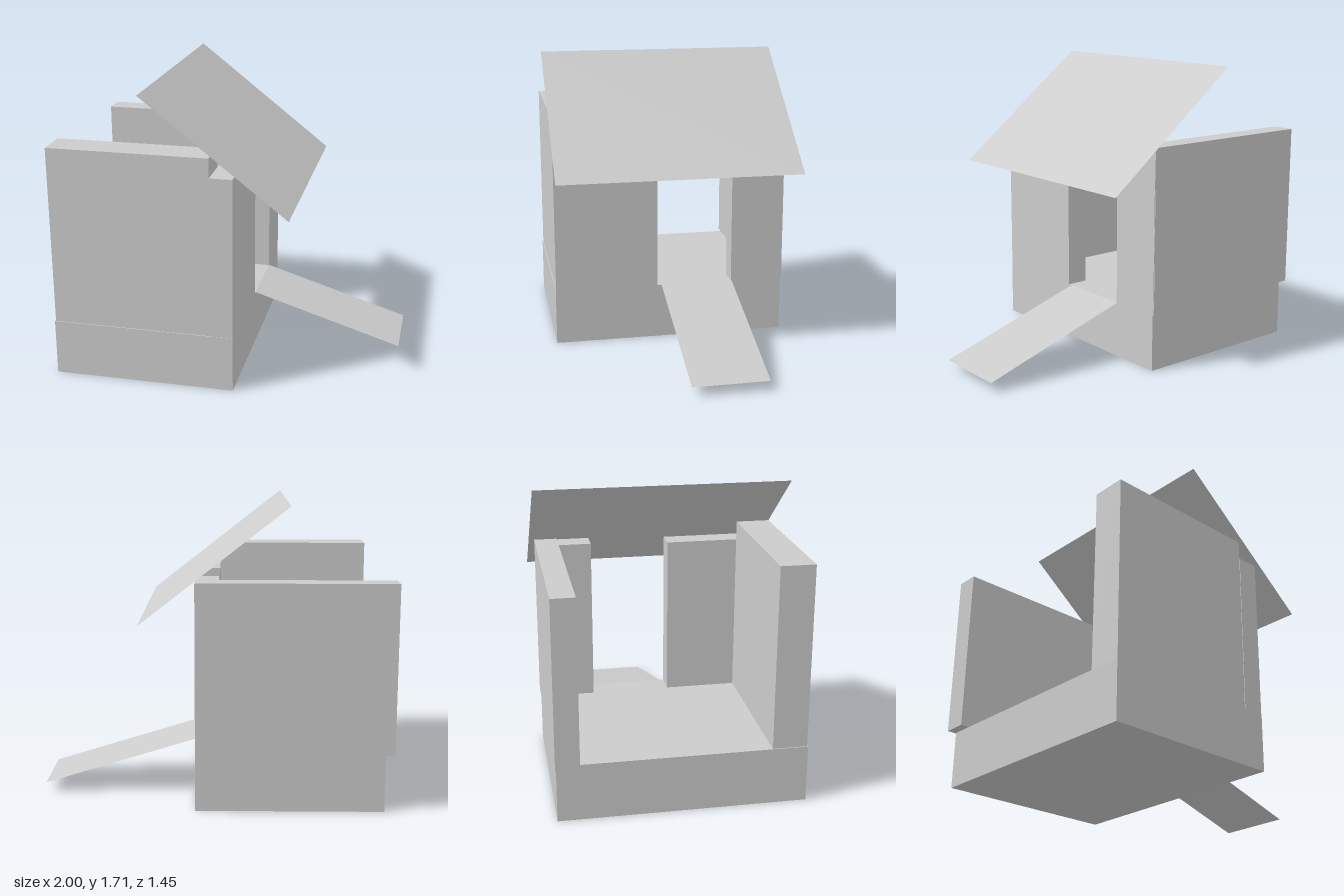
import * as THREE from 'three';

const material = new THREE.MeshStandardMaterial({ color: 0xcccccc, flatShading: true });
const sheetMaterial = new THREE.MeshStandardMaterial({ color: 0xcccccc, flatShading: true, side: THREE.DoubleSide });

// Box given by its limits on each axis
function block(name, [x0, x1], [y0, y1], [z0, z1]) {
  const mesh = new THREE.Mesh(new THREE.BoxGeometry(x1 - x0, y1 - y0, z1 - z0), material);
  mesh.name = name;
  mesh.position.set((x0 + x1) / 2, (y0 + y1) / 2, (z0 + z1) / 2);
  return mesh;
}

// Thin sheet sloping down from (xHigh, yHigh) to (xLow, yLow)
function slopedSheet(name, [xHigh, yHigh], [xLow, yLow], [z0, z1]) {
  const dx = xLow - xHigh, dy = yLow - yHigh;
  const geometry = new THREE.PlaneGeometry(Math.hypot(dx, dy), z1 - z0);
  geometry.rotateX(-Math.PI / 2);
  const mesh = new THREE.Mesh(geometry, sheetMaterial);
  mesh.name = name;
  mesh.rotation.z = Math.atan2(dy, dx);
  mesh.position.set((xHigh + xLow) / 2, (yHigh + yLow) / 2, (z0 + z1) / 2);
  return mesh;
}

export function createModel() {
  const group = new THREE.Group();
  group.name = 'hut';
  const floor = 0.33;
  const sideWall = [-0.02, 0.11];

  group.add(
    block('base', [-0.95, 0.11], [0, floor], [-0.685, 0.71]),
    // Walls, open on the -x side
    block('frontWall', [-0.945, -0.02], [floor, 1.38], [0.51, 0.705]),
    block('backWall', [-1, 0.107], [floor, 1.29], [-0.693, -0.56]),
    // Side wall in two parts, with the doorway between them
    block('sideWallFront', sideWall, [floor, 1.27], [0.09, 0.708]),
    block('sideWallBack', sideWall, [floor, 1.285], [-0.69, -0.37]),
    slopedSheet('roof', [-0.405, 1.705], [0.42, 1.06], [-0.725, 0.72]),
    slopedSheet('ramp', [0.11, floor], [1, 0.055], [-0.375, 0.065]),
  );
  return group;
}
